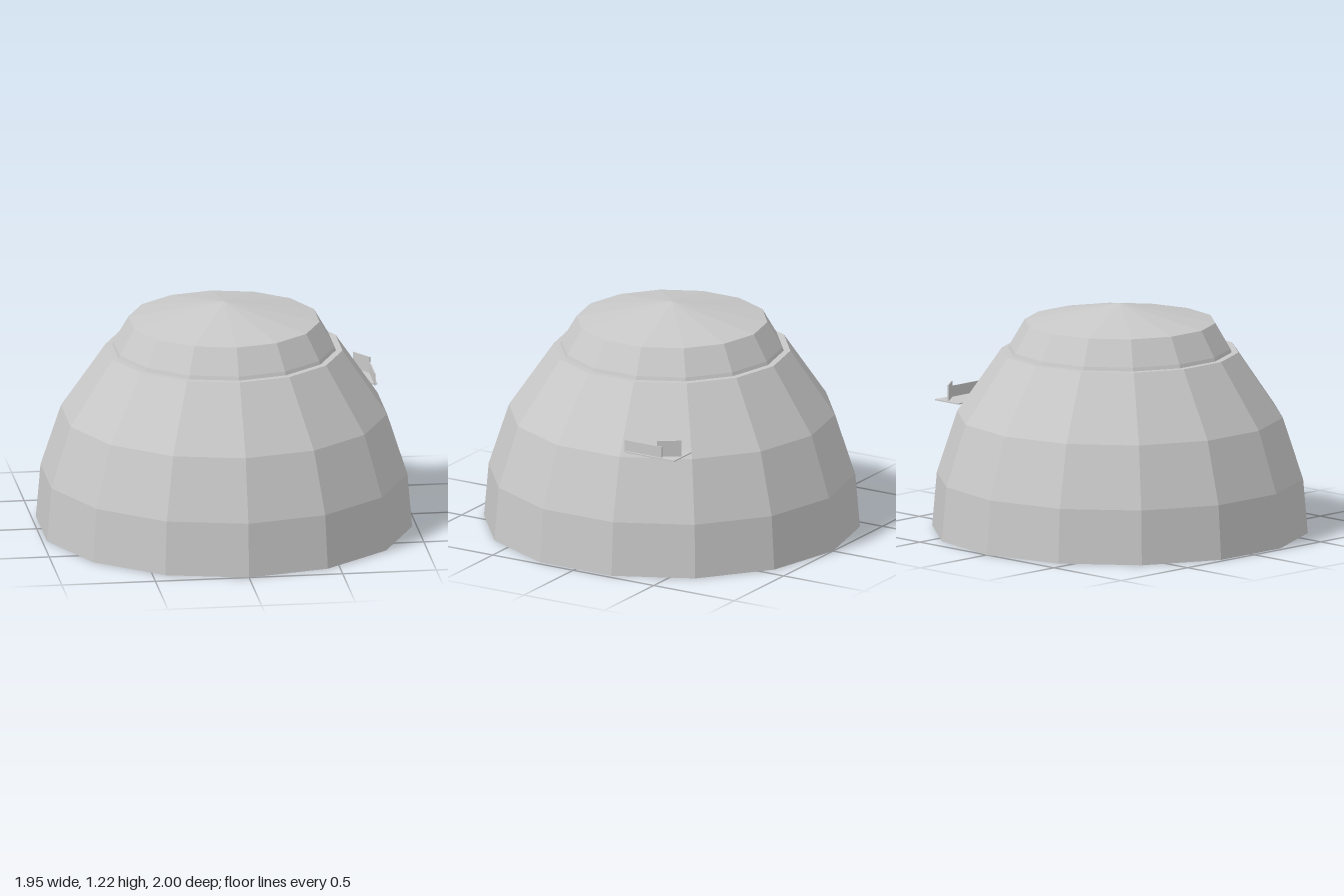
import * as THREE from 'three';

const SIDES = 14;

export function createModel() {
  const model = new THREE.Group();
  const grey = new THREE.MeshStandardMaterial({ color: 0xc8c8c8, flatShading: true, side: THREE.DoubleSide });
  grey.name = 'light grey';

  function add(name, geometry, parent = model) {
    const mesh = new THREE.Mesh(geometry, grey);
    mesh.name = name;
    parent.add(mesh);
    return mesh;
  }

  // Faceted ring from a profile of [radius, height]
  function ring(name, profile) {
    add(name, new THREE.LatheGeometry(profile.map(([r, y]) => new THREE.Vector2(r, y)), SIDES));
  }

  // Open dome shell with a narrow ledge, and the cap standing on it
  ring('domeShell', [[1, 0], [0.975, 0.29], [0.867, 0.62], [0.63, 0.966], [0.595, 0.966]]);
  ring('domeCap', [[0.595, 0.966], [0.588, 0.985], [0.508, 1.122], [0, 1.22]]);

  // Small tray fixed to the side of the dome
  const tray = new THREE.Group();
  tray.name = 'sideTray';
  model.add(tray);

  // Tray floor, drawn as x and z then laid flat
  const outline = [[0.675, -0.535], [0.85, -0.535], [0.85, -0.23], [0.805, -0.23], [0.77, -0.31], [0.72, -0.39], [0.675, -0.48]];
  const floor = new THREE.ExtrudeGeometry(
    new THREE.Shape(outline.map(([x, z]) => new THREE.Vector2(x, z))),
    { depth: 0.006, bevelEnabled: false });
  floor.rotateX(Math.PI / 2);
  add('trayFloor', floor, tray).position.y = 0.658;

  // Upright plate between two floor points
  function wall(name, [x1, z1], [x2, z2], bottom, top) {
    const length = Math.hypot(x2 - x1, z2 - z1);
    const plate = add(name, new THREE.BoxGeometry(length, top - bottom, 0.006), tray);
    plate.position.set((x1 + x2) / 2, (bottom + top) / 2, (z1 + z2) / 2);
    plate.rotation.y = -Math.atan2(z2 - z1, x2 - x1);
  }
  wall('trayOuterWall', [0.835, -0.22], [0.835, -0.45], 0.65, 0.717);
  wall('trayBackWall', [0.835, -0.42], [0.76, -0.525], 0.655, 0.745);

  // Low bracket beneath the floor
  const bracket = add('trayBracket', new THREE.BoxGeometry(0.05, 0.015, 0.07), tray);
  bracket.position.set(0.79, 0.645, -0.35);

  return model;
}
